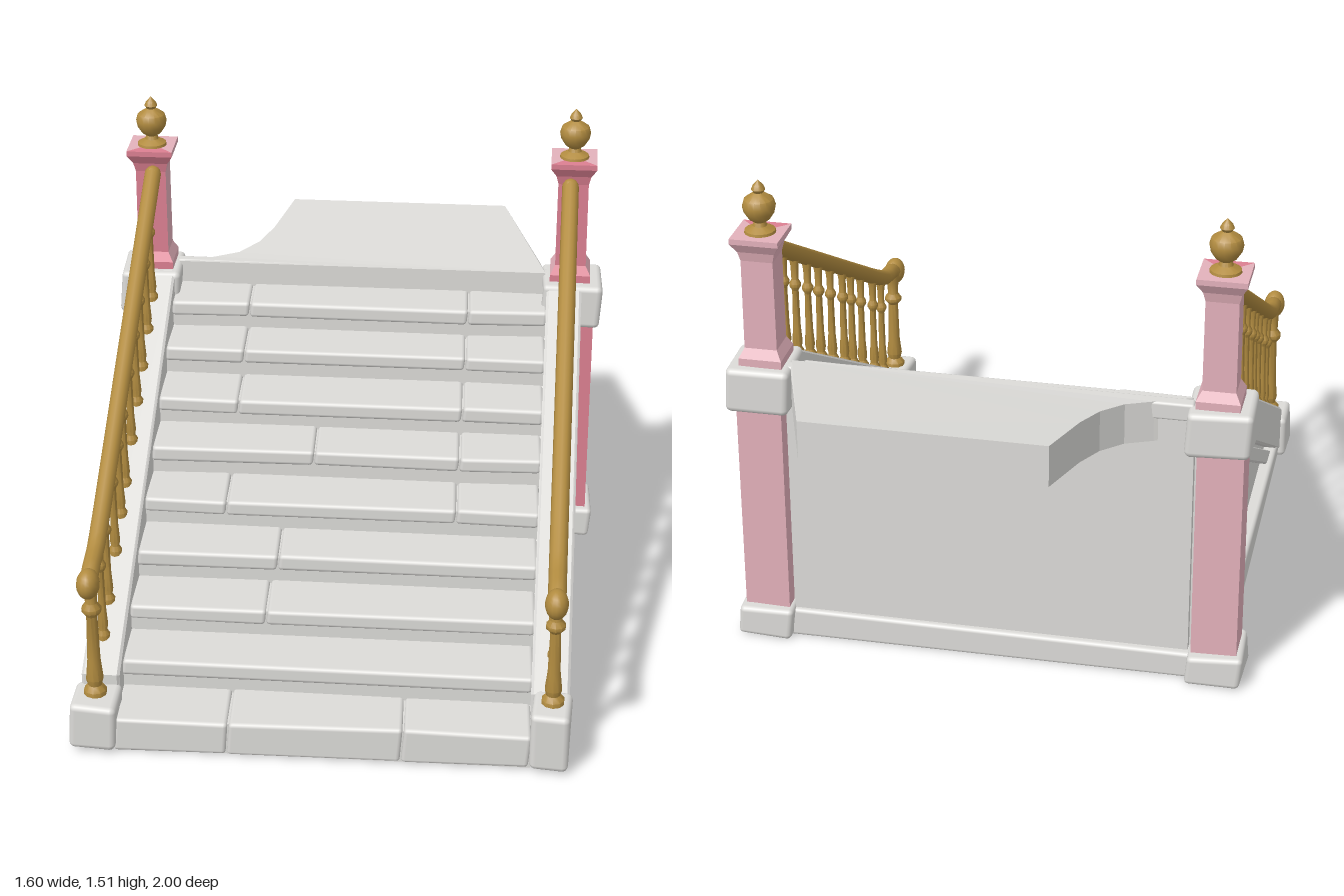
import * as THREE from 'three';
import { RoundedBoxGeometry } from 'three/addons/geometries/RoundedBoxGeometry.js';
import { toCreasedNormals } from 'three/addons/utils/BufferGeometryUtils.js';

const mat = (name, color) => Object.assign(new THREE.MeshStandardMaterial({ color }), { name });
const stone = mat('stone', 0xdcdbd8);
const palePink = mat('pale pink', 0xe3b1bb);
const rosePink = mat('rose pink', 0xdc8092);
const brass = mat('brass', 0xb28c40);

export function createModel() {
  const model = new THREE.Group();
  model.name = 'staircase';

  const add = (name, geometry, material, parent = model) => {
    const mesh = new THREE.Mesh(geometry, material);
    mesh.name = name;
    parent.add(mesh);
    return mesh;
  };

  // Gentle irregularity for hand-cut stone, a rule of position only
  const roughen = (geo, amount = 0.004) => {
    const p = geo.attributes.position;
    for (let i = 0; i < p.count; i++) {
      const x = p.getX(i), y = p.getY(i), z = p.getZ(i);
      p.setXYZ(i,
        x + amount * Math.sin(y * 31 + z * 17),
        Math.max(0, y + amount * Math.sin(x * 19 + z * 23) * 0.7),
        z + amount * Math.sin(x * 27 + y * 37));
    }
    return geo;
  };

  // Softly bevelled stone given by its limits
  const block = (name, x0, x1, y0, y1, z0, z1, bevel = 0.012, parent = model) => {
    const geo = new RoundedBoxGeometry(x1 - x0, y1 - y0, z1 - z0, 2, bevel);
    geo.translate((x0 + x1) / 2, (y0 + y1) / 2, (z0 + z1) / 2);
    return add(name, roughen(geo), stone, parent);
  };

  // Side profile of [z, y] points, extruded from x0 to x1
  const sideSlab = (name, points, x0, x1, parent = model, bevel = 0) => {
    const shape = new THREE.Shape(points.map(([z, y]) => new THREE.Vector2(z, y)));
    const geo = new THREE.ExtrudeGeometry(shape, {
      depth: x1 - x0 - 2 * bevel, bevelEnabled: bevel > 0,
      bevelSize: bevel, bevelOffset: -bevel, bevelThickness: bevel, bevelSegments: 1,
    });
    geo.rotateY(-Math.PI / 2).translate(x1 - bevel, 0, 0);
    return add(name, geo, stone, parent);
  };

  const turned = (points, sides = 16) => toCreasedNormals(
    new THREE.LatheGeometry(points.map(([r, y]) => new THREE.Vector2(r, y)), sides), 0.7);

  // Steps: a solid core with separate tread stones on top
  const stepFront = (i) => 0.98 - 0.17 * i;
  const stepTop = (i) => (i === 9 ? 0.93 : 0.115 + 0.093 * i);
  const seams = [[-0.28, 0.24], [], [-0.2], [-0.18], [-0.36, 0.36], [-0.1, 0.36],
    [-0.36, 0.36], [-0.36, 0.36], [-0.36, 0.36]];
  const core = [[-0.58, 0]];
  core.push([stepFront(0) - 0.015, 0]);
  for (let i = 0; i < 10; i++) {
    core.push([stepFront(i) - 0.015, stepTop(i) - 0.01]);
    core.push([i < 9 ? stepFront(i + 1) - 0.015 : -0.58, stepTop(i) - 0.01]);
  }
  sideSlab('stairCore', core, -0.62, 0.62);
  seams.forEach((cuts, i) => {
    const edges = [-0.62, ...cuts, 0.62];
    for (let k = 0; k < edges.length - 1; k++) {
      const bottom = i === 0 ? 0.004 : stepTop(i) - 0.05;
      block('tread', edges[k] + 0.002, edges[k + 1] - 0.002, bottom, stepTop(i),
        stepFront(i + 1) - 0.03, stepFront(i));
    }
  });
  block('topLip', -0.62, 0.62, 0.875, 0.932, -0.585, -0.545, 0.008);
  block('backPlinth', -0.64, 0.64, 0, 0.09, -0.6, -0.54);

  // Landing: a broken slab that tapers and rises toward the back
  const outline = [[-0.61, 0.54], [-0.5, 0.585], [-0.42, 0.625], [-0.36, 0.7], [-0.32, 0.8],
    [-0.27, 1], [0.46, 1], [0.59, 0.62], [0.61, 0.54]];
  const landing = new THREE.ExtrudeGeometry(
    new THREE.Shape(outline.map(([x, z]) => new THREE.Vector2(x, z))),
    { depth: 0.13, bevelEnabled: false });
  landing.rotateX(-Math.PI / 2).translate(0, 0.802, 0);
  const lp = landing.attributes.position;
  for (let i = 0; i < lp.count; i++) {
    lp.setY(i, lp.getY(i) + 0.115 * Math.max(0, -0.6 - lp.getZ(i)));
  }
  landing.computeVertexNormals();
  add('landing', landing, stone);

  // Four-sided pillar profile whose front face is the deeper pink
  const pillarProfile = [[0.066, 0.93], [0.066, 0.955], [0.05, 0.985], [0.049, 1.27],
    [0.056, 1.3], [0.074, 1.33], [0.074, 1.347], [0, 1.347]];
  const pillarGeometry = () => {
    const pts = pillarProfile.map(([h, y]) => new THREE.Vector2(h * Math.SQRT2, y));
    const indexed = new THREE.LatheGeometry(pts, 4, Math.PI / 4);
    const perSide = indexed.index.count / 4;
    const geo = indexed.toNonIndexed();
    geo.clearGroups();
    for (let s = 0; s < 4; s++) geo.addGroup(s * perSide, perSide, s === 3 ? 1 : 0);
    geo.computeVertexNormals();
    return geo;
  };

  const finialProfile = [[0.048, 1.345], [0.046, 1.355], [0.022, 1.368], [0.018, 1.38],
    [0.032, 1.39], [0.046, 1.412], [0.05, 1.432], [0.044, 1.452], [0.024, 1.466],
    [0.014, 1.472], [0.021, 1.482], [0.016, 1.494], [0, 1.512]];

  // Turned baluster between two heights
  const baluster = (y0, y1, k = 1) => {
    const h = y1 - y0;
    return turned([[0.021, 0], [0.021, 0.05], [0.013, 0.09], [0.016, 0.14], [0.012, 0.3],
      [0.01, 0.66], [0.018, 0.7], [0.018, 0.73], [0.011, 0.77], [0.012, 0.9], [0.017, 1]]
      .map(([r, t]) => [r * k, y0 + t * h]), 10);
  };

  const slopeY = (z) => 0.2 + (0.86 - z) * 0.5535;
  const railY = (z) => 0.63 + (0.72 - z) * 0.538;

  for (const s of [1, -1]) {
    const side = new THREE.Group();
    side.name = s > 0 ? 'leftSide' : 'rightSide';
    model.add(side);
    const span = (a, b) => (s > 0 ? [a, b] : [-b, -a]);
    const slab = (name, pts, a, b, bevel) => sideSlab(name, pts, ...span(a, b), side, bevel);
    const stoneBlock = (name, a, b, ...rest) => block(name, ...span(a, b), ...rest, side);

    // Side wall, sloping stringer, moulding and plinth
    slab('sidePanel', [[0.9, 0], [-0.55, 0], [-0.55, 0.85], [0.9, 0.05]], 0.61, 0.685);
    slab('stringer', [[0.87, 0.195], [-0.46, 0.931], [-0.46, 0.775], [0.87, 0.03]], 0.615, 0.73, 0.008);
    slab('moulding', [[0.74, 0.09], [-0.46, 0.757], [-0.46, 0.7], [0.64, 0.09]], 0.62, 0.71, 0.006);
    stoneBlock('sidePlinth', 0.62, 0.725, 0, 0.09, -0.47, 0.88, 0.012);

    // Newel block at the foot of the stairs
    const footTop = s > 0 ? 0.2 : 0.16;
    stoneBlock('footBlock', s > 0 ? 0.62 : 0.61, s > 0 ? 0.735 : 0.75, 0.012, footTop, 0.85, 1, 0.018);

    // Back pillar: base, shaft, cap block, upper post and finial
    stoneBlock('pillarBase', 0.62, 0.79, 0, 0.1, -0.637, -0.44, 0.015);
    const shaft = new THREE.BoxGeometry(0.14, 0.7, 0.135).translate(s * 0.702, 0.44, -0.536);
    add('pillarShaft', shaft, [palePink, palePink, palePink, palePink, rosePink, palePink], side);
    stoneBlock('pillarCapBlock', 0.6, 0.795, 0.785, 0.93, -0.638, -0.435, 0.018);
    add('upperPost', pillarGeometry(), [palePink, rosePink], side).position.set(s * 0.69, 0, -0.54);
    add('finial', turned(finialProfile), brass, side).position.set(s * 0.69, 0, -0.54);

    // Handrail with a rolled end
    const x = s * 0.68;
    const path = new THREE.CatmullRomCurve3([[0.955, 0.55], [0.9, 0.575], [0.81, 0.592],
      [0.72, 0.632], [0.5, railY(0.5)], [0, railY(0)], [-0.47, railY(-0.47)]]
      .map(([z, y]) => new THREE.Vector3(x, y, z)));
    add('handrail', new THREE.TubeGeometry(path, 40, 0.027, 12), brass, side);
    add('railScroll', new THREE.SphereGeometry(0.046, 16, 12).scale(0.75, 1, 1), brass, side)
      .position.set(x, 0.556, 0.948);
    add('railEnd', new THREE.SphereGeometry(0.027, 12, 8), brass, side)
      .position.set(x, railY(-0.47), -0.47);

    // Foot newel and the row of balusters
    add('footNewel', baluster(footTop - 0.005, 0.57, 1.65), brass, side).position.set(x, 0, 0.915);
    for (const z of [0.75, 0.64, 0.49, 0.37, 0.27, 0.13, 0, -0.12, -0.25, -0.365]) {
      add('baluster', baluster(slopeY(z) - 0.012, railY(z) - 0.01), brass, side).position.set(x, 0, z);
    }
  }
  return model;
}
